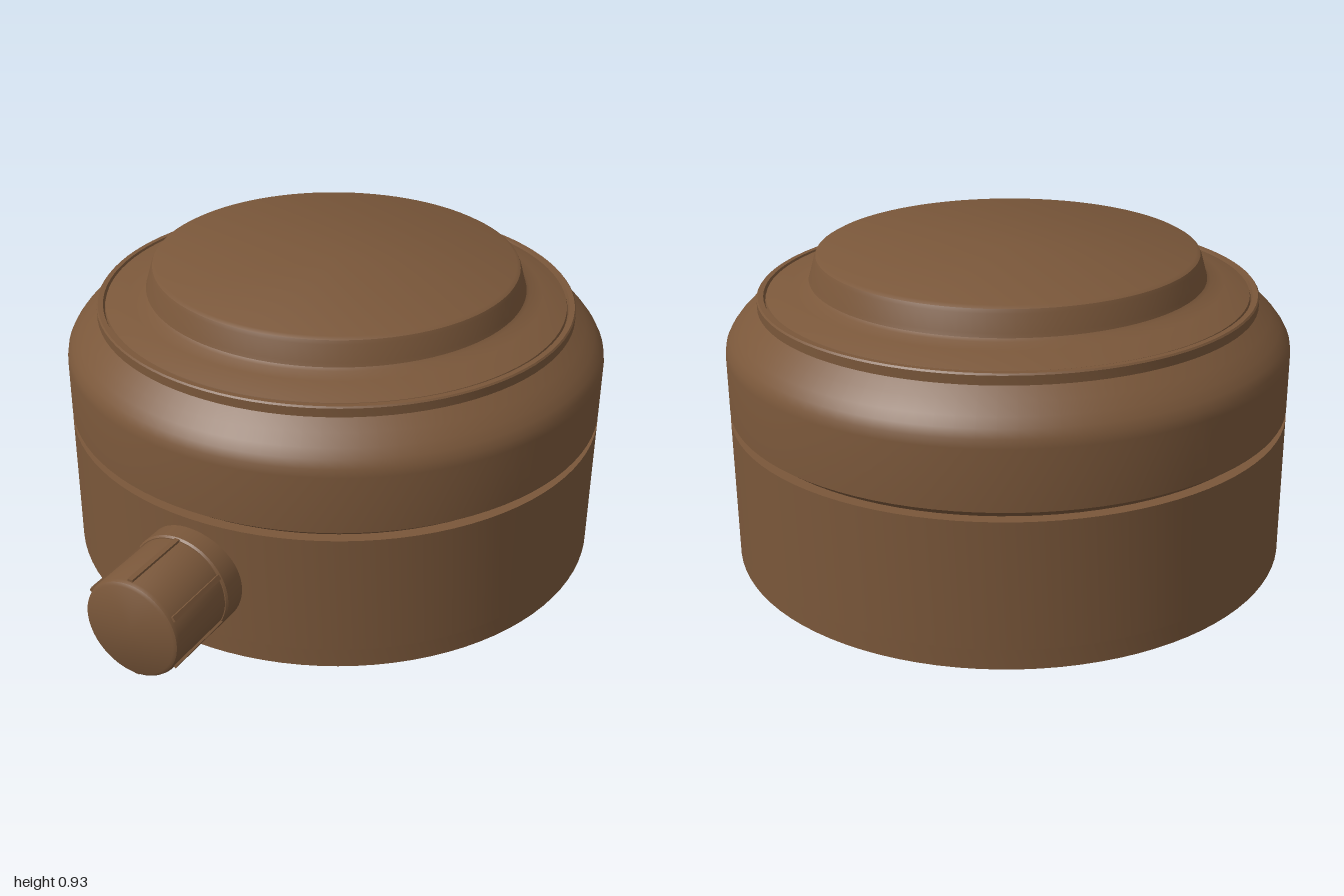
import * as THREE from 'three';
import { toCreasedNormals } from 'three/addons/utils/BufferGeometryUtils.js';

const SEGMENTS = 96;
const CENTRE_Z = -0.15;
const RADIUS = 0.85;

export function createModel() {
  const model = new THREE.Group();
  model.name = 'roundHousing';
  const brown = new THREE.MeshStandardMaterial({ color: 0x7a573a });

  const add = (parent, name, geometry) => {
    const mesh = new THREE.Mesh(geometry, brown);
    mesh.name = name;
    parent.add(mesh);
    return mesh;
  };
  // Lathe from [radius, height] pairs, with sharp edges kept
  const turned = (points, segments = SEGMENTS) => toCreasedNormals(
    new THREE.LatheGeometry(points.map(([r, y]) => new THREE.Vector2(r, y)), segments), 0.6);

  const body = new THREE.Group();
  body.name = 'body';
  body.position.z = CENTRE_Z;
  model.add(body);

  // Bottom plate with a long recess, whose walls lean inward
  const slabHeight = 0.06;
  const disc = new THREE.Shape().absarc(0, 0, RADIUS, 0, Math.PI * 2);
  const [halfWidth, zBack, zFront] = [0.145, -0.79, 0.557];
  disc.holes.push(new THREE.Path([
    [-halfWidth, -zFront], [-halfWidth, -zBack], [halfWidth, -zBack], [halfWidth, -zFront],
  ].map(([x, y]) => new THREE.Vector2(x, y))));
  const slab = new THREE.ExtrudeGeometry(disc, {
    depth: slabHeight, bevelEnabled: false, curveSegments: SEGMENTS / 2,
  }).rotateX(-Math.PI / 2);
  const p = slab.attributes.position;
  for (let i = 0; i < p.count; i++) {
    if (p.getY(i) < slabHeight / 2 || Math.hypot(p.getX(i), p.getZ(i)) > RADIUS - 0.01) continue;
    p.setX(i, p.getX(i) - Math.sign(p.getX(i)) * 0.02);
    p.setZ(i, p.getZ(i) - Math.sign(p.getZ(i)) * 0.02);
  }
  add(body, 'bottomPlate', toCreasedNormals(slab, 0.6));

  // Lower drum
  add(body, 'lowerDrum', turned([
    [0, slabHeight], [RADIUS, slabHeight], [RADIUS, 0.44], [0.815, 0.44], [0, 0.44],
  ]));

  // Upper cover with chamfered seam, rounded shoulder and thin rim
  add(body, 'upperCover', turned([
    [0.815, 0.44], [0.82, 0.447], [0.85, 0.467], [0.85, 0.645], [0.846, 0.67], [0.834, 0.693],
    [0.815, 0.718], [0.785, 0.748], [0.75, 0.778], [0.75, 0.805], [0.746, 0.81],
    [0.73, 0.81], [0.725, 0.798], [0.71, 0.798],
  ]));

  // Domed lid rising to the flat raised top
  add(body, 'raisedLid', turned([
    [0.725, 0.798], [0.722, 0.807], [0.69, 0.819], [0.645, 0.833], [0.605, 0.843], [0.595, 0.85],
    [0.591, 0.862], [0.577, 0.912], [0.572, 0.923], [0.56, 0.93], [0, 0.93],
  ]));

  // Side knob: collar, stem with softened tip, and six grip ribs
  const knob = new THREE.Group();
  knob.name = 'sideKnob';
  knob.position.set(0, 0.245, 0);
  knob.rotation.x = Math.PI / 2;
  model.add(knob);
  add(knob, 'knobCollar', turned([
    [0, 0.64], [0.163, 0.64], [0.163, 0.756], [0.158, 0.762], [0, 0.762],
  ], 64));
  add(knob, 'knobStem', turned([
    [0.155, 0.74], [0.155, 0.984], [0.151, 0.994], [0.142, 1], [0, 1],
  ], 64));
  for (let i = 0; i < 6; i++) {
    const angle = (i * Math.PI) / 3;
    const rib = add(knob, 'knobRib', new THREE.BoxGeometry(0.016, 0.225, 0.03));
    rib.position.set(Math.sin(angle) * 0.147, 0.8725, Math.cos(angle) * 0.147);
    rib.rotation.y = angle;
  }

  return model;
}
